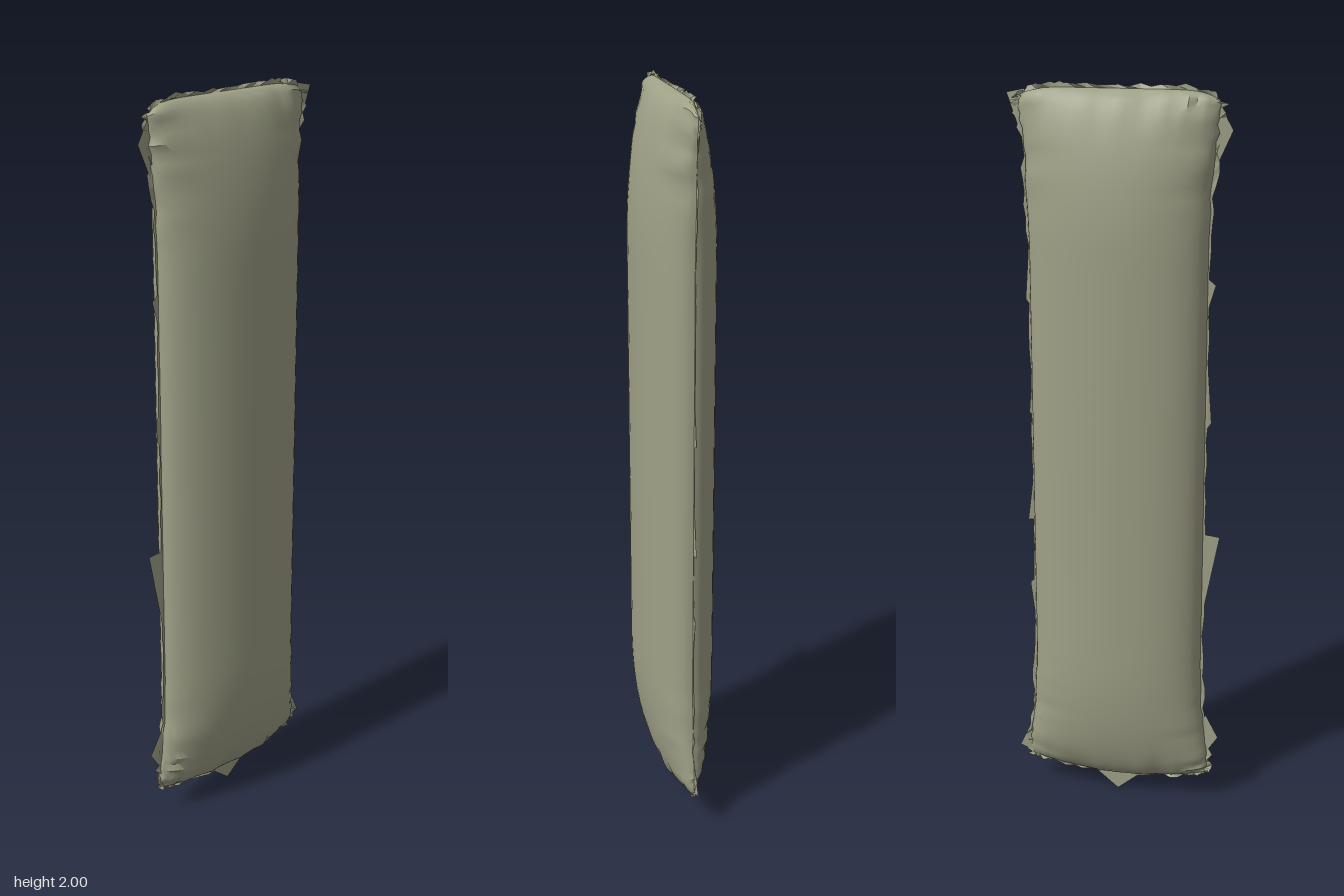
import * as THREE from 'three';
import { toCreasedNormals } from 'three/addons/utils/BufferGeometryUtils.js';

const COLS = 28, END = 18, MID = 20, ROWS = END * 2 + MID;
const BOTTOM = 0.055, TOP = 1.985, TAPER = 0.4, DEPTH = 0.102;

// small seeded generator, -1..1
let seed = 7;
const rand = () => {
  seed = (seed * 16807) % 2147483647;
  return (seed / 2147483647) * 2 - 1;
};
const noise = n => Array.from({ length: n + 1 }, rand);

// each row: height, and t = 0 in the straight middle, 1 at either end
function makeRows() {
  const rows = [];
  for (let j = 0; j <= ROWS; j++) {
    if (j < END) {
      const t = Math.cos((j / END) * Math.PI / 2);
      rows.push({ y: BOTTOM + TAPER * (1 - t), t, end: -1 });
    } else if (j <= END + MID) {
      rows.push({ y: BOTTOM + TAPER + (TOP - BOTTOM - 2 * TAPER) * (j - END) / MID, t: 0, end: 0 });
    } else {
      const t = Math.sin(((j - END - MID) / END) * Math.PI / 2);
      rows.push({ y: TOP - TAPER * (1 - t), t, end: 1 });
    }
  }
  return rows;
}

function sheetGeometry(points, w, h, flip) {
  const index = [];
  for (let j = 0; j < h; j++) for (let i = 0; i < w; i++) {
    const a = j * (w + 1) + i, b = a + 1, c = a + w + 1, d = c + 1;
    index.push(...(flip ? [a, c, b, b, c, d] : [a, b, c, b, d, c]));
  }
  const g = new THREE.BufferGeometry().setFromPoints(points);
  g.setIndex(index);
  return g;
}

export function createModel() {
  const group = new THREE.Group();
  group.name = 'longCushion';
  const cloth = new THREE.MeshStandardMaterial({ color: 0x9fa187 });
  const seamCloth = new THREE.MeshStandardMaterial({ color: 0x9fa187, side: THREE.DoubleSide, flatShading: true });
  const rows = makeRows();
  const rimJitter = [noise(ROWS), noise(ROWS)];

  // outline of the cushion: slightly flared ends with softened corners
  const outline = (i, j) => {
    const u = Math.sin((i / COLS - 0.5) * Math.PI), { y, t, end } = rows[j];
    const half = 0.234 + 0.032 * t * t - 0.016 * t ** 14
      + 0.005 * rimJitter[u < 0 ? 0 : 1][j] * Math.min(1, t * 2);
    const droop = end > 0 ? -0.02 * u ** 8 : 0.03 * u * u;
    return new THREE.Vector3(u * half, y + droop * t ** 3, 0);
  };

  // two puffed panels, gathered into creases close to the seam
  for (const side of [1, -1]) {
    const left = noise(ROWS), right = noise(ROWS), ends = [noise(COLS), noise(COLS)];
    const pts = [];
    for (let j = 0; j <= ROWS; j++) for (let i = 0; i <= COLS; i++) {
      const p = outline(i, j), { t, end } = rows[j];
      const a = (i / COLS - 0.5) * Math.PI, u = Math.sin(a);
      const puff = Math.cos(a) * Math.sqrt(Math.max(0, 1 - t * t));
      const sideFold = (u < 0 ? left : right)[j] * Math.abs(u) ** 5 * Math.min(1, t * 1.6);
      const endFold = ends[end > 0 ? 1 : 0][i] * t ** 10;
      p.z = side * DEPTH * puff * (1 + 0.32 * sideFold + 0.35 * endFold);
      pts.push(p);
    }
    const panel = new THREE.Mesh(toCreasedNormals(sheetGeometry(pts, COLS, ROWS, side < 0), 0.6), cloth);
    panel.name = side > 0 ? 'frontPanel' : 'backPanel';
    group.add(panel);
  }

  // ragged seam allowance running once around the outline
  const rim = [];
  for (let i = 0; i < COLS; i++) rim.push([i, 0]);
  for (let j = 0; j < ROWS; j++) rim.push([COLS, j]);
  for (let i = COLS; i > 0; i--) rim.push([i, ROWS]);
  for (let j = ROWS; j >= 0; j--) rim.push([0, j]);
  const inner = [], outer = [];
  for (const [i, j] of rim) {
    const p = outline(i, j), { t } = rows[j];
    const dx = i === 0 ? -1 : i === COLS ? 1 : 0;
    const dy = j === 0 ? -1 : j === ROWS ? 1 : 0;
    const r = Math.abs(rand());
    const width = dy ? 0.003 + 0.012 * r : 0.003 + (0.006 + 0.016 * t) * r;
    inner.push(p);
    outer.push(new THREE.Vector3(p.x + dx * width, p.y + dy * width, 0.008 * rand() * (dy ? 1 : t)));
  }
  outer[outer.length - 1].copy(outer[0]);
  const seam = new THREE.Mesh(sheetGeometry([...inner, ...outer], rim.length - 1, 1, true), seamCloth);
  seam.name = 'seamEdge';
  group.add(seam);

  // loose triangular flaps: seam start, tip, seam end
  const flaps = [
    [-0.07, 0.058, 0, 0, 0.07, 0.058],
    [-0.232, 0.55, -0.28, 0.81, -0.232, 0.815],
    [0.23, 1.0, 0.252, 0.82, 0.23, 0.82],
    [0.235, 0.5, 0.25, 0.63, 0.23, 0.65],
    [-0.232, 1.42, -0.255, 1.5, -0.23, 1.52],
    [0.232, 1.42, 0.248, 1.44, 0.235, 1.62],
    [0.23, 1.12, 0.243, 1.13, 0.23, 1.3],
    [-0.23, 1.1, -0.25, 1.13, -0.23, 1.4],
    [0.25, 0.2, 0.29, 0.11, 0.245, 0.09],
    [-0.25, 0.27, -0.288, 0.2, -0.25, 0.14],
    [0.25, 1.86, 0.288, 1.97, 0.24, 1.98],
    [-0.25, 1.8, -0.29, 1.89, -0.25, 1.96],
    [-0.22, 1.98, -0.17, 2, -0.1, 1.982],
    [0.1, 1.982, 0.15, 2, 0.2, 1.98],
  ];
  const flapPoints = flaps.flatMap(([a, b, c, d, e, f]) => [
    new THREE.Vector3(a, b, 0), new THREE.Vector3(c, d, 0.004 * rand()), new THREE.Vector3(e, f, 0)]);
  const flapGeometry = new THREE.BufferGeometry().setFromPoints(flapPoints);
  flapGeometry.computeVertexNormals();
  const flapMesh = new THREE.Mesh(flapGeometry, seamCloth);
  flapMesh.name = 'seamFlaps';
  group.add(flapMesh);

  group.traverse(o => { if (o.isMesh && !o.geometry.attributes.normal) o.geometry.computeVertexNormals(); });
  return group;
}
